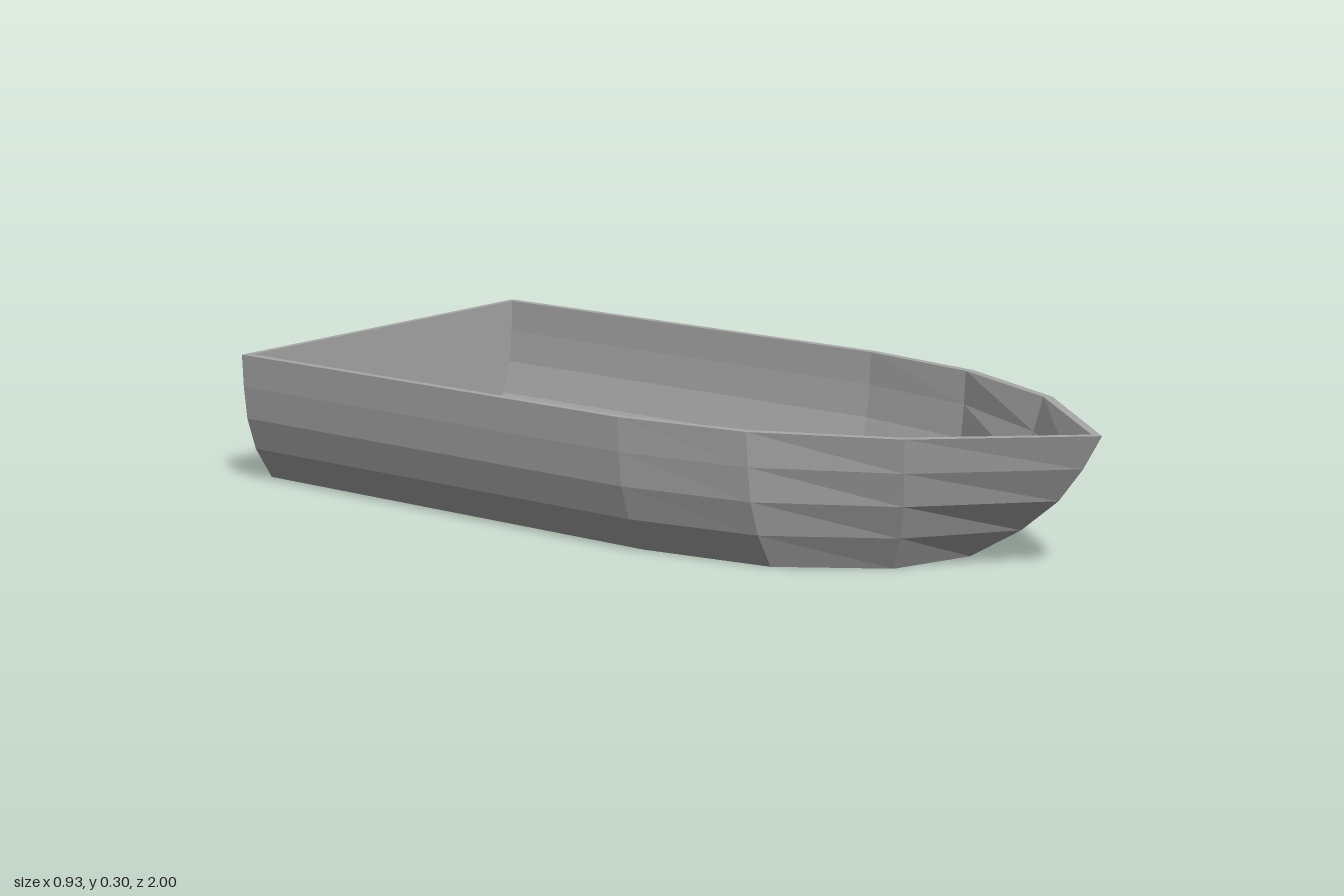
import * as THREE from 'three';

// Each row: y, stern z, then half-outline [x, z] at midship, shoulder, cheek, and the stem z
const outerRows = [
  [0.0, -1, 0.38, 0.11, 0.33, 0.41, 0.185, 0.62, 0.685],
  [0.075, -1, 0.428, 0.11, 0.374, 0.41, 0.214, 0.655, 0.81],
  [0.15, -1, 0.452, 0.11, 0.399, 0.41, 0.24, 0.68, 0.9],
  [0.225, -1, 0.46, 0.11, 0.409, 0.41, 0.26, 0.695, 0.957],
  [0.3, -1, 0.463, 0.11, 0.414, 0.41, 0.275, 0.705, 1.0],
];
const innerRows = [
  [0.3, -0.985, 0.445, 0.105, 0.396, 0.4, 0.262, 0.69, 0.975],
  [0.225, -0.985, 0.442, 0.105, 0.391, 0.4, 0.245, 0.678, 0.93],
  [0.15, -0.985, 0.433, 0.105, 0.381, 0.4, 0.224, 0.66, 0.865],
  [0.075, -0.985, 0.409, 0.105, 0.355, 0.4, 0.199, 0.63, 0.775],
  [0.015, -0.985, 0.37, 0.105, 0.319, 0.4, 0.18, 0.602, 0.67],
];

// Mirrors a half-outline into a closed ring: left stern, bow, right stern
function ring([y, stern, mx, mz, sx, sz, cx, cz, stem]) {
  const half = [[mx, stern], [mx, mz], [sx, sz], [cx, cz]];
  const left = half.map(([x, z]) => [x, y, z]);
  const right = half.map(([x, z]) => [-x, y, z]).reverse();
  return [...left, [0, y, stem], ...right];
}

function fromTriangles(points) {
  const geometry = new THREE.BufferGeometry();
  geometry.setAttribute('position', new THREE.Float32BufferAttribute(points.flat(), 3));
  geometry.computeVertexNormals();
  return geometry;
}

// Joins successive rings; the last segment of each ring is the flat stern
function skin(rings) {
  const tris = [];
  for (let r = 0; r < rings.length - 1; r++) {
    const a = rings[r], b = rings[r + 1], n = a.length;
    for (let i = 0; i < n; i++) {
      const j = (i + 1) % n;
      tris.push(a[i], b[i], b[j], a[i], b[j], a[j]);
    }
  }
  return fromTriangles(tris);
}

// Fills a ring with a flat panel
function panel(points, up) {
  const tris = [];
  for (let i = 1; i < points.length - 1; i++) {
    if (up) tris.push(points[0], points[i + 1], points[i]);
    else tris.push(points[0], points[i], points[i + 1]);
  }
  return fromTriangles(tris);
}

export function createModel() {
  const model = new THREE.Group();
  model.name = 'boatHull';
  const grey = new THREE.MeshStandardMaterial({ color: 0xa8a8a8, flatShading: true });
  grey.name = 'hull grey';

  const outer = outerRows.map(ring);
  const inner = innerRows.map(ring);

  const add = (name, geometry) => {
    const mesh = new THREE.Mesh(geometry, grey);
    mesh.name = name;
    model.add(mesh);
  };

  add('outerHull', skin(outer));
  add('gunwale', skin([outer[outer.length - 1], inner[0]]));
  add('innerHull', skin(inner));
  add('floor', panel(inner[inner.length - 1], true));
  add('bottom', panel(outer[0], false));
  return model;
}
